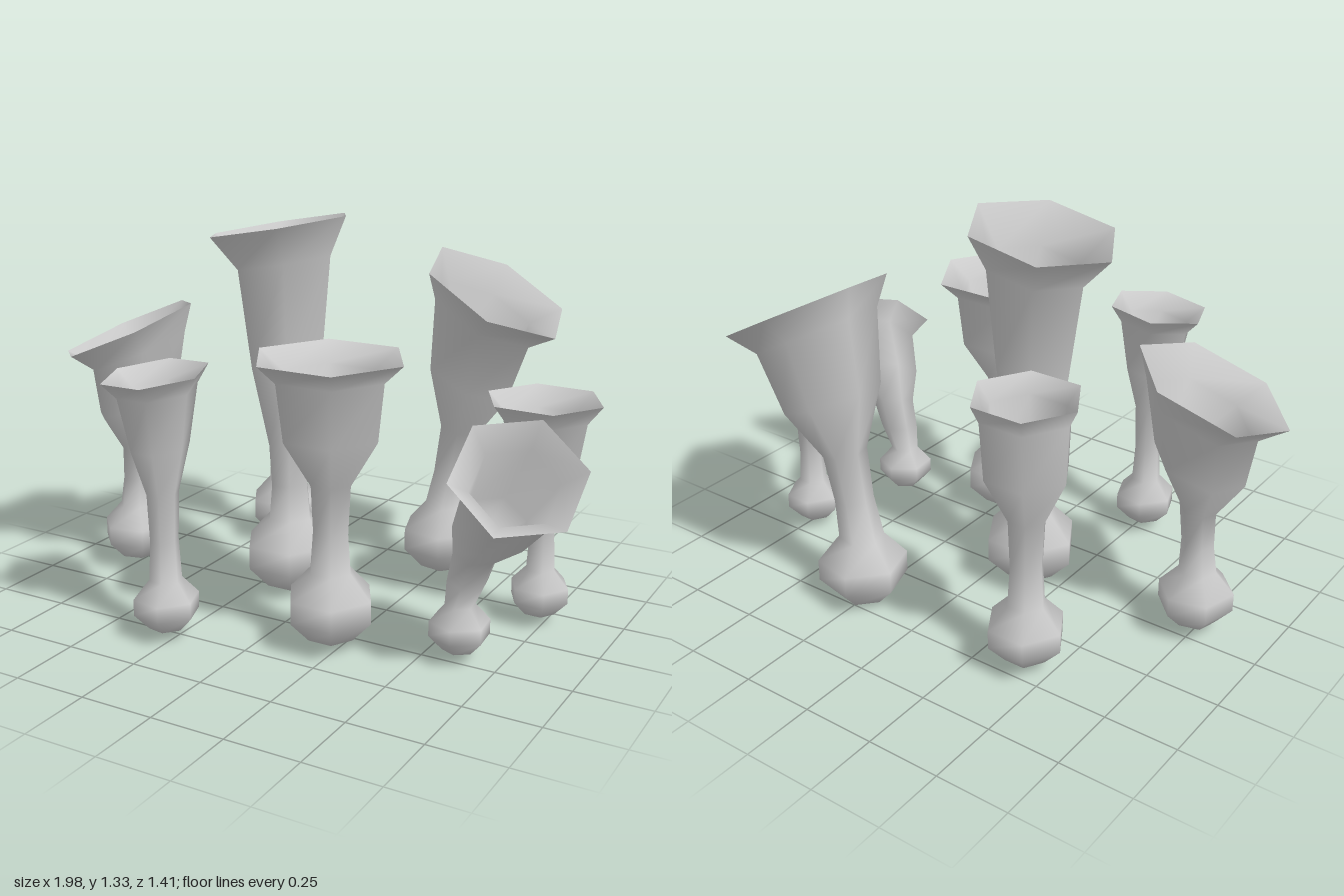
import * as THREE from 'three';
import { mergeVertices } from 'three/addons/utils/BufferGeometryUtils.js';

const SIDES = 6;
const V = (x, y, z) => new THREE.Vector3(x, y, z);
const UP = V(0, 1, 0);

// Smooth skin through six-sided rings { c: centre, r: radius, n: axis }
function skin(rings, turn) {
  const pos = [], idx = [];
  rings.forEach(({ c, r, n }, i) => {
    const q = new THREE.Quaternion().setFromUnitVectors(UP, n);
    for (let j = 0; j < SIDES; j++) {
      const a = turn + (j / SIDES) * Math.PI * 2;
      const p = V(Math.cos(a) * r, 0, Math.sin(a) * r).applyQuaternion(q).add(c);
      pos.push(p.x, p.y, p.z);
      if (i + 1 < rings.length) {
        const k = i * SIDES + j, l = i * SIDES + ((j + 1) % SIDES);
        idx.push(k, k + SIDES, l, l, k + SIDES, l + SIDES);
      }
    }
  });
  let g = new THREE.BufferGeometry();
  g.setAttribute('position', new THREE.Float32BufferAttribute(pos, 3));
  g.setIndex(idx);
  g = mergeVertices(g, 1e-5);
  g.computeVertexNormals();
  return g;
}

// One trumpet: bulb foot, thin stem, cup with a flared rim and a hollow inside.
// cup, mid and drop are shares of the rim radius; neck is a share of the bulb radius.
function makeTrumpet(material, name, { x, z, base = 0.03, bulb, neckX = x, neckY, rim, rimR,
  slopeX = 0, slopeZ = 0, turn = 0, cup = 0.75, mid = 0.6, drop = 0.32, neck = 0.49 }) {
  const n = V(slopeX, 1, slopeZ).normalize();
  const tilt = t => UP.clone().lerp(n, t).normalize();
  const bulbRing = (r, h) => ({ c: V(x, base + h * bulb, z), r: r * bulb, n: UP });
  const rimC = V(...rim), neckC = V(neckX, neckY, z);
  const lipC = rimC.clone().addScaledVector(n, -drop * rimR);
  const along = t => neckC.clone().lerp(lipC, t);
  const shoulder = bulbRing(0.5, 1.65);
  const edge = { c: rimC, r: rimR, n };

  const outer = [
    bulbRing(0, 0), bulbRing(0.55, 0.12), bulbRing(1, 0.6), bulbRing(1, 1.1), shoulder,
    { c: shoulder.c.clone().lerp(neckC, 0.45), r: neck * bulb * 0.88, n: tilt(0.2) },
    { c: neckC, r: neck * bulb, n: tilt(0.5) },
    { c: along(0.45), r: mid * rimR, n: tilt(0.8) },
    { c: lipC, r: cup * rimR, n },
    edge,
  ];
  const inner = [
    edge,
    { c: lipC, r: cup * rimR * 0.88, n },
    { c: along(0.45), r: mid * rimR * 0.8, n: tilt(0.8) },
    { c: along(0.27), r: mid * rimR * 0.45, n: tilt(0.65) },
    { c: along(0.22), r: 0, n: tilt(0.65) },
  ];
  const group = new THREE.Group();
  group.name = name;
  for (const [part, rings] of [['bulbStemAndCup', outer], ['cupInside', inner]]) {
    const mesh = new THREE.Mesh(skin(rings, THREE.MathUtils.degToRad(turn)), material);
    mesh.name = part;
    group.add(mesh);
  }
  return group;
}

export function createModel() {
  const material = new THREE.MeshStandardMaterial({ color: 0xcccccc });
  const model = new THREE.Group();
  model.name = 'trumpetCluster';
  const add = (name, options) => model.add(makeTrumpet(material, name, options));

  add('tallCentreTrumpet', { x: -0.13, z: 0, base: 0.015, bulb: 0.16, neckY: 0.55,
    rim: [-0.17, 1.285, -0.01], rimR: 0.255, slopeX: -0.18, cup: 0.69, mid: 0.53, drop: 0.47 });
  add('leftTrumpet', { x: -0.745, z: 0.06, bulb: 0.125, neckX: -0.73, neckY: 0.46,
    rim: [-0.755, 0.89, 0.06], rimR: 0.26, slopeX: -0.39, slopeZ: 0.16, turn: -14 });
  add('backLeftTrumpet', { x: -0.41, z: -0.43, bulb: 0.13, neckY: 0.55,
    rim: [-0.4, 0.95, -0.425], rimR: 0.177, cup: 0.85, mid: 0.79 });
  add('backRightTrumpet', { x: 0.255, z: -0.44, base: 0.005, bulb: 0.15, neckX: 0.31, neckY: 0.55,
    rim: [0.43, 1.045, -0.45], rimR: 0.272, slopeX: 0.54, slopeZ: 0.04, turn: 12 });
  add('rightTrumpet', { x: 0.73, z: -0.17, bulb: 0.1, neckY: 0.45,
    rim: [0.717, 0.77, -0.175], rimR: 0.197, turn: 2 });
  add('frontRightTrumpet', { x: 0.615, z: 0.22, bulb: 0.098, neckX: 0.665, neckY: 0.38,
    rim: [0.82, 0.66, 0.295], rimR: 0.212, slopeX: 0.5, slopeZ: 0.82, turn: 24, neck: 0.76 });
  add('frontLeftTrumpet', { x: -0.275, z: 0.535, bulb: 0.108, neckY: 0.5,
    rim: [-0.29, 0.885, 0.535], rimR: 0.173, slopeX: -0.08, slopeZ: 0.08, turn: 10, mid: 0.55 });
  add('frontTrumpet', { x: 0.225, z: 0.345, bulb: 0.145, neckY: 0.56,
    rim: [0.215, 0.955, 0.335], rimR: 0.25, mid: 0.66, drop: 0.24 });
  return model;
}
